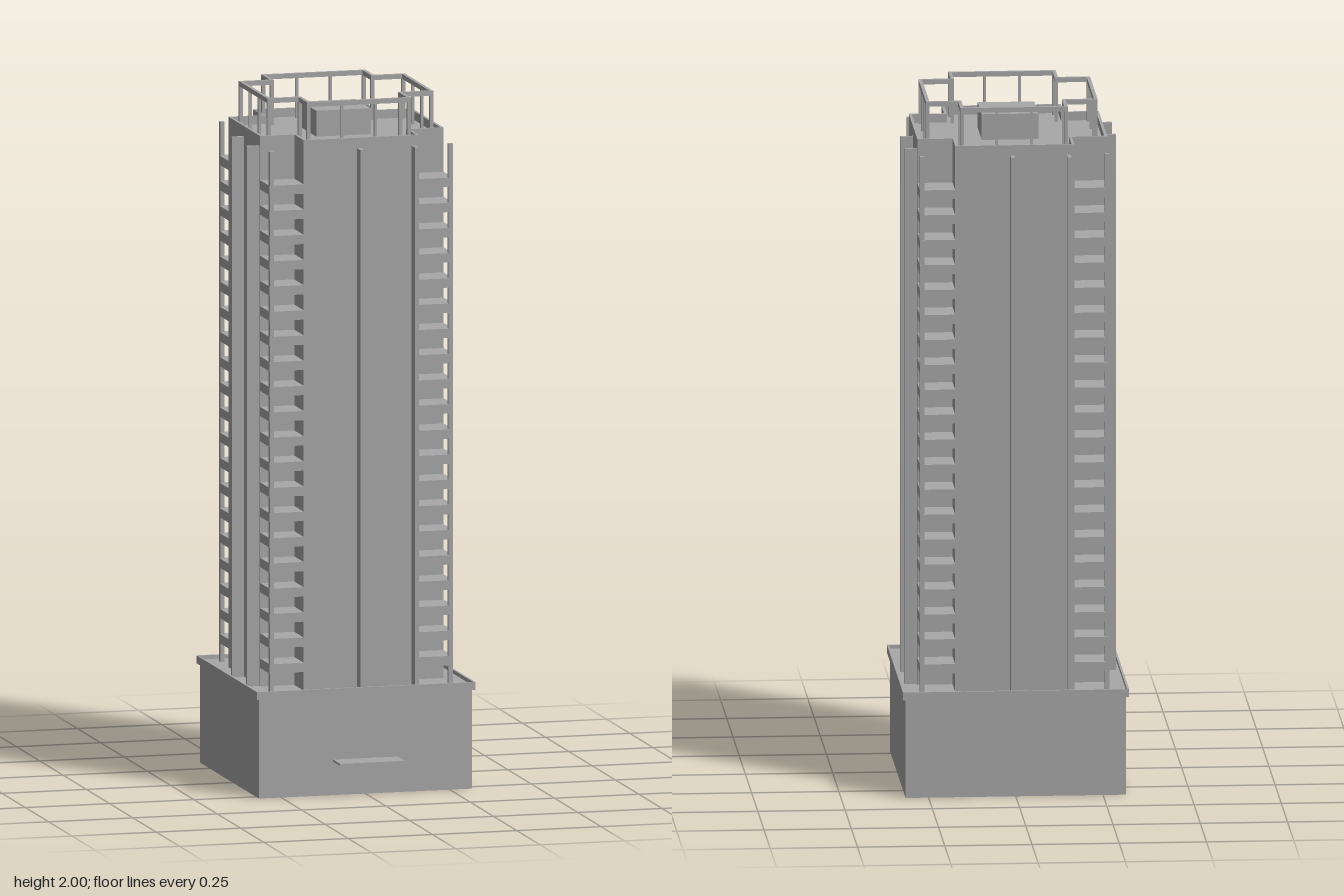
import * as THREE from 'three';

const concrete = new THREE.MeshStandardMaterial({ color: 0xa8a8a8 });
concrete.name = 'concrete grey';

const ARM = 0.272;   // half length of the cross-shaped plan
const WING = 0.171;  // half width of each arm
const CENTRE_Z = -0.035;

// Outline points of a square and of a cross, counter-clockwise
const square = (h) => [[h, h], [-h, h], [-h, -h], [h, -h]];
const cross = (a, b) => [
  [a, -b], [a, b], [b, b], [b, a], [-b, a], [-b, b],
  [-a, b], [-a, -b], [-b, -b], [-b, -a], [b, -a], [b, -b],
];
const toVectors = (points) => points.map(([x, y]) => new THREE.Vector2(x, y));

// Upright prism from y0 to y1, with an optional opening
function prism(name, outer, inner, y0, y1) {
  const shape = new THREE.Shape(toVectors(outer));
  if (inner) shape.holes.push(new THREE.Path(toVectors(inner)));
  const geometry = new THREE.ExtrudeGeometry(shape, { depth: y1 - y0, bevelEnabled: false });
  geometry.rotateX(-Math.PI / 2);
  geometry.translate(0, y0, 0);
  const mesh = new THREE.Mesh(geometry, concrete);
  mesh.name = name;
  return mesh;
}

// Box given by its plan centre, plan size and heights
function block(name, x, z, w, d, y0, y1) {
  const mesh = new THREE.Mesh(new THREE.BoxGeometry(w, y1 - y0, d), concrete);
  mesh.position.set(x, (y0 + y1) / 2, z);
  mesh.name = name;
  return mesh;
}

export function createModel() {
  const model = new THREE.Group();
  model.name = 'residentialTower';
  const building = new THREE.Group();
  building.name = 'building';
  building.position.z = CENTRE_Z;
  model.add(building);

  // Podium: hollow walls open below, terrace floor and raised rim
  building.add(
    prism('podiumWalls', square(0.316), square(0.313), 0, 0.289),
    prism('podiumTerrace', square(0.318), null, 0.287, 0.299),
    prism('podiumRim', square(0.324), square(0.318), 0.287, 0.31),
  );

  // Entrance canopy
  model.add(block('entranceCanopy', 0, 0.318, 0.192, 0.078, 0.097, 0.103));

  // Cross-shaped tower with a parapet around the roof
  building.add(
    prism('towerBody', cross(ARM, WING), null, 0.298, 1.87),
    prism('roofParapet', cross(ARM, WING), cross(ARM - 0.008, WING - 0.008), 1.87, 1.895),
    block('roofPlantRoom', 0, 0.001, 0.162, 0.162, 1.87, 1.945),
  );

  // Roof railing: top rail on slim posts
  const railing = new THREE.Group();
  railing.name = 'roofRailing';
  railing.add(prism('topRail', cross(0.246, 0.154), cross(0.236, 0.144), 1.986, 2));
  for (const [x, z] of cross(0.241, 0.149)) {
    railing.add(block('railingPost', x, z, 0.01, 0.01, 1.87, 1.988));
  }
  building.add(railing);

  // Each side repeats around the tower by quarter turns
  for (let i = 0; i < 4; i++) {
    const side = new THREE.Group();
    side.name = 'towerSide' + (i + 1);
    side.rotation.y = i * Math.PI / 2;
    building.add(side);

    // Vertical fins on the face
    for (const x of [-0.007, 0.155]) {
      side.add(block('facadeFin', x, ARM + 0.017, 0.012, 0.038, 0.298, 1.865));
    }

    // Intermediate railing posts
    for (const x of [-0.05, 0.05]) {
      side.add(block('railingPost', x, 0.241, 0.008, 0.008, 1.87, 1.988));
    }

    // Corner column and stacked balcony slabs in the notch
    side.add(block('cornerColumn', 0.265, 0.265, 0.013, 0.013, 0.298, 1.865));
    const mid = (ARM + WING) / 2;
    const size = ARM - WING;
    for (let k = 0; k < 20; k++) {
      const top = 0.38 + k * 0.073;
      side.add(block('balconySlab', mid, mid, size, size, top - 0.027, top));
    }
  }
  return model;
}
